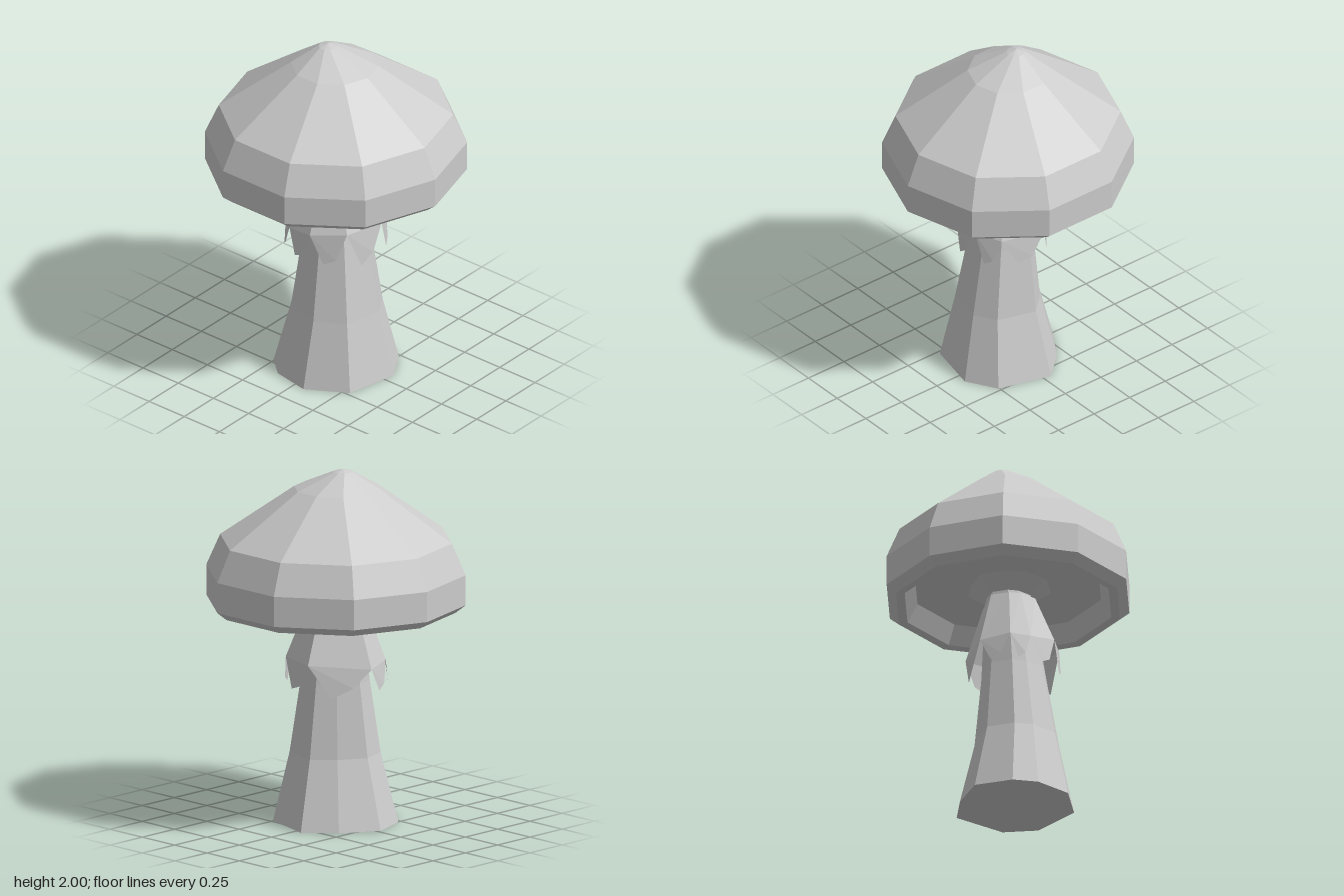
import * as THREE from 'three';

const RAD = Math.PI / 180;

function makeMesh(name, positions, side = THREE.FrontSide) {
  const geometry = new THREE.BufferGeometry();
  geometry.setAttribute('position', new THREE.Float32BufferAttribute(positions, 3));
  geometry.computeVertexNormals();
  const mesh = new THREE.Mesh(geometry,
    new THREE.MeshStandardMaterial({ color: 0xcccccc, flatShading: true, side }));
  mesh.name = name;
  return mesh;
}

// Skin a stack of rings, each a list of Vector3; collapsed triangles are dropped
function loft(rings) {
  const out = [];
  const tri = (a, b, c) => {
    if (a.distanceTo(b) < 1e-6 || b.distanceTo(c) < 1e-6 || a.distanceTo(c) < 1e-6) return;
    for (const p of [a, b, c]) out.push(p.x, p.y, p.z);
  };
  for (let k = 0; k + 1 < rings.length; k++) {
    const lo = rings[k], hi = rings[k + 1], n = lo.length;
    for (let i = 0; i < n; i++) {
      const j = (i + 1) % n;
      tri(lo[i], hi[i], lo[j]);
      tri(lo[j], hi[i], hi[j]);
    }
  }
  return out;
}

// Ring of points at given angles around (cx, cz)
function ring(angles, r, y, cx = 0, cz = 0, scales = []) {
  return angles.map((a, i) => {
    const s = r * (scales[i] ?? 1);
    return new THREE.Vector3(cx + s * Math.cos(a * RAD), y, cz + s * Math.sin(a * RAD));
  });
}

export function createModel() {
  const group = new THREE.Group();
  group.name = 'mushroom';

  // Ten-sided cap: hollow underside, rolled lip, dome and off-centre tip
  const capAngles = Array.from({ length: 10 }, (_, i) => i * 36);
  const capProfile = [ // radius, height, x offset
    [0, 1.31, 0], [0.54, 1.31, 0], [0.6, 1.21, 0], [0.65, 1.205, 0], [0.705, 1.25, 0],
    [0.705, 1.42, 0], [0.63, 1.595, 0], [0.235, 1.885, -0.01], [0.052, 1.985, -0.055], [0, 2, -0.055],
  ];
  const capRings = capProfile.map(([r, y, cx]) => ring(capAngles, r, y, cx));
  // slight sideways skew
  capRings.flat().forEach((p) => { p.x -= 0.045 * p.z; });
  group.add(makeMesh('cap', loft(capRings)));

  // Uneven tapering stem that flares out against the underside of the cap
  const stemAngles = [-241, -217, -180, -138, -101, -47, -14, 38, 82];
  stemAngles.sort((a, b) => a - b);
  const flat = stemAngles.map((a) => (a === -138 ? 0.86 : 1));
  const stemProfile = [ // radius, height, centre x, centre z
    [0, 0, 0.02, 0.02], [0.345, 0, 0.02, 0.02], [0.25, 0.39, 0.03, 0.025],
    [0.19, 0.8, 0.02, 0.015], [0.14, 1.24, 0, 0], [0.25, 1.315, 0, 0],
  ];
  group.add(makeMesh('stem', loft(stemProfile.map(
    ([r, y, cx, cz]) => ring(stemAngles, r, y, cx, cz, flat)))));

  // Ragged skirt: one hanging petal for each pair of neighbouring ribs
  const skirtAngles = stemAngles.filter((a) => a !== -138);
  const top = ring(skirtAngles, 0.163, 1.215, 0.005, 0.005);
  const valley = ring(skirtAngles, 0.275, 0.93, 0.01, 0.01);
  valley.forEach((p, i) => { p.y += [-0.02, -0.01, -0.03, 0, 0, 0.02, 0.03, 0.01][i]; });
  const skirt = [];
  const add = (...pts) => pts.forEach((p) => skirt.push(p.x, p.y, p.z));
  valley.forEach((a, i) => {
    const j = (i + 1) % valley.length, b = valley[j];
    const tip = (t, y) => {
      const p = a.clone().lerp(b, t);
      return new THREE.Vector3(p.x * 1.06, y, p.z * 1.06);
    };
    const t1 = tip(0.3, 0.8), t2 = tip(0.62, i % 3 === 2 ? 0.74 : 0.77);
    add(a, top[i], b);
    add(b, top[i], top[j]);
    add(a, b, t1);
    add(t1, b, t2);
  });
  group.add(makeMesh('skirt', skirt, THREE.DoubleSide));

  return group;
}
